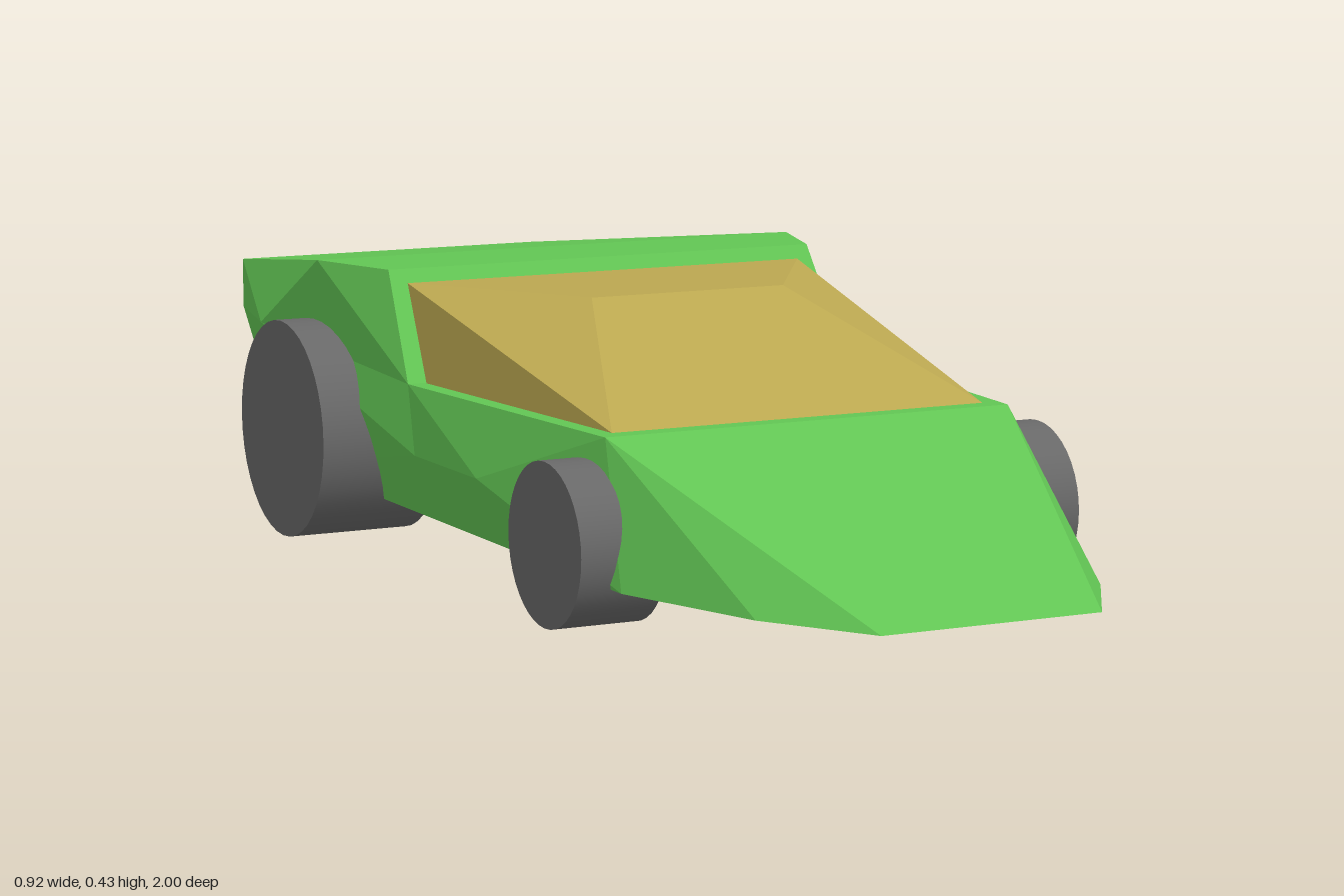
import * as THREE from 'three';

// Builds a left-right symmetric faceted shell.
// loop: centre-spanning edge points in order; sides: faces on the +x side.
function symmetricShell(p, loop, sides, color, name) {
  const pos = [];
  const mirror = ([x, y, z]) => [-x, y, z];
  const fan = (pts) => {
    for (let i = 1; i < pts.length - 1; i++) pos.push(...pts[0], ...pts[i], ...pts[i + 1]);
  };
  loop.forEach((key, i) => {
    const a = p[key], b = p[loop[(i + 1) % loop.length]];
    fan([a, b, mirror(b), mirror(a)]);
  });
  for (const face of sides) {
    const pts = face.split(' ').map((k) => p[k]);
    fan(pts);
    fan(pts.map(mirror).reverse());
  }
  const geo = new THREE.BufferGeometry();
  geo.setAttribute('position', new THREE.Float32BufferAttribute(pos, 3));
  geo.computeVertexNormals();
  const mesh = new THREE.Mesh(geo, new THREE.MeshStandardMaterial({ color, flatShading: true }));
  mesh.name = name;
  return mesh;
}

export function createModel() {
  const car = new THREE.Group();
  car.name = 'wedgeCar';

  // Body: wedge nose, flat cabin deck, raised engine cover, tapered tail
  const body = {
    nose: [0.17, 0.07, 1],
    noseSide: [0.27, 0.07, 0.84],
    sillFront: [0.35, 0.07, 0.6],
    sillRear: [0.35, 0.07, -0.6],
    ridgeFront: [0.385, 0.17, 0.2],
    ridgeRear: [0.385, 0.17, -0.02],
    hood: [0.325, 0.27, 0.5],
    deckRear: [0.373, 0.27, -0.07],
    coverFront: [0.36, 0.43, -0.17],
    coverTop: [0.41, 0.43, -0.33],
    hip: [0.425, 0.31, -0.53],
    tailTop: [0.27, 0.35, -1],
    tailLow: [0.27, 0.27, -1],
  };
  car.add(symmetricShell(
    body,
    ['nose', 'hood', 'deckRear', 'coverFront', 'coverTop', 'tailTop', 'tailLow', 'sillRear', 'sillFront', 'noseSide'],
    [
      'nose noseSide hood',
      'noseSide sillFront hood',
      'sillFront ridgeFront hood',
      'hood ridgeFront ridgeRear deckRear',
      'sillFront sillRear ridgeRear ridgeFront',
      'deckRear ridgeRear sillRear hip',
      'deckRear hip coverTop',
      'deckRear coverTop coverFront',
      'hip tailTop coverTop',
      'hip tailLow tailTop',
      'hip sillRear tailLow',
    ],
    0x62c554, 'body'));

  // Canopy: sloping windscreen, flat roof, folded side windows
  const canopy = {
    front: [0.3, 0.27, 0.47],
    roofFront: [0.16, 0.41, 0.12],
    roofRear: [0.335, 0.41, -0.155],
    baseRear: [0.345, 0.27, -0.065],
  };
  car.add(symmetricShell(
    canopy,
    ['front', 'roofFront', 'roofRear', 'baseRear'],
    ['front roofRear roofFront', 'front baseRear roofRear'],
    0xbba750, 'canopy'));

  // Wheels: small front pair, large rear pair
  const tyre = new THREE.MeshStandardMaterial({ color: 0x686868 });
  const axles = [
    { name: 'front', r: 0.118, z: 0.46, outer: 0.4 },
    { name: 'rear', r: 0.168, z: -0.355, outer: 0.462 },
  ];
  const inner = 0.268;
  for (const { name, r, z, outer } of axles) {
    const geo = new THREE.CylinderGeometry(r, r, outer - inner, 40).rotateZ(Math.PI / 2);
    for (const side of [1, -1]) {
      const wheel = new THREE.Mesh(geo, tyre);
      wheel.position.set(side * (outer + inner) / 2, r, z);
      wheel.name = name + (side > 0 ? 'LeftWheel' : 'RightWheel');
      car.add(wheel);
    }
  }
  return car;
}
